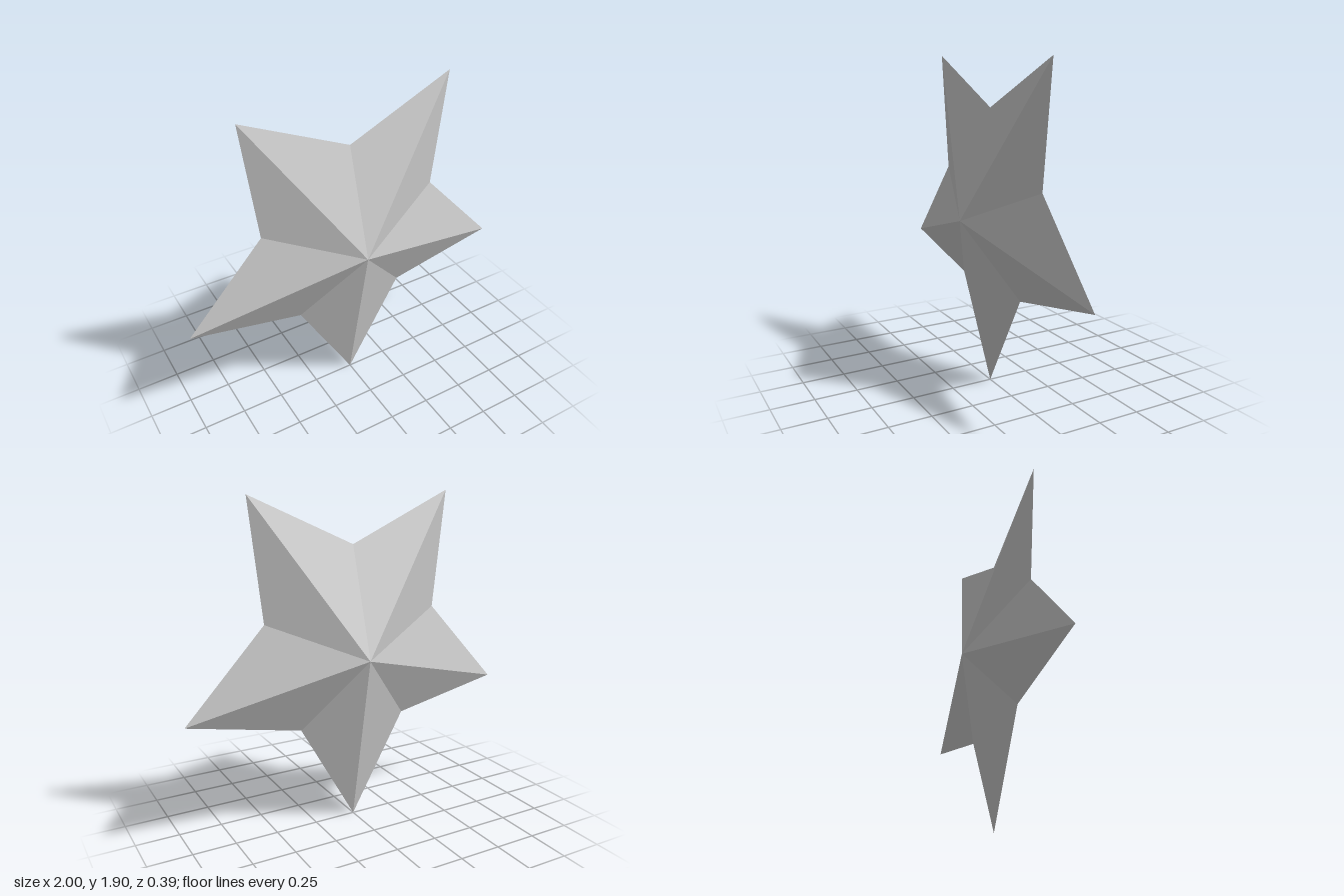
import * as THREE from 'three';

// Right half of the outline, from the bottom tip up to the top notch: [x, y]
const HALF_OUTLINE = [
  [0, 0], [0.336, 0.594], [1, 0.73], [0.54, 1.227], [0.615, 1.903], [0, 1.623],
];
const CENTRE_Y = 1;
const HALF_DEPTH = 0.195;

// One faceted side: a fan of triangles from the outline to a raised centre
function createSide(outline, side) {
  const positions = [];
  outline.forEach((a, i) => {
    const b = outline[(i + 1) % outline.length];
    const [first, second] = side > 0 ? [a, b] : [b, a];
    positions.push(...first, 0, ...second, 0, 0, CENTRE_Y, side * HALF_DEPTH);
  });
  const geometry = new THREE.BufferGeometry();
  geometry.setAttribute('position', new THREE.Float32BufferAttribute(positions, 3));
  geometry.computeVertexNormals();
  return geometry;
}

export function createModel() {
  const group = new THREE.Group();
  group.name = 'star';
  const material = new THREE.MeshStandardMaterial({ color: 0xcccccc, flatShading: true });

  // Mirror the half outline, without repeating the two points on the axis
  const mirrored = HALF_OUTLINE.slice(1, -1).reverse().map(([x, y]) => [-x, y]);
  const outline = [...HALF_OUTLINE, ...mirrored];

  for (const [name, side] of [['starFront', 1], ['starBack', -1]]) {
    const mesh = new THREE.Mesh(createSide(outline, side), material);
    mesh.name = name;
    group.add(mesh);
  }
  return group;
}
